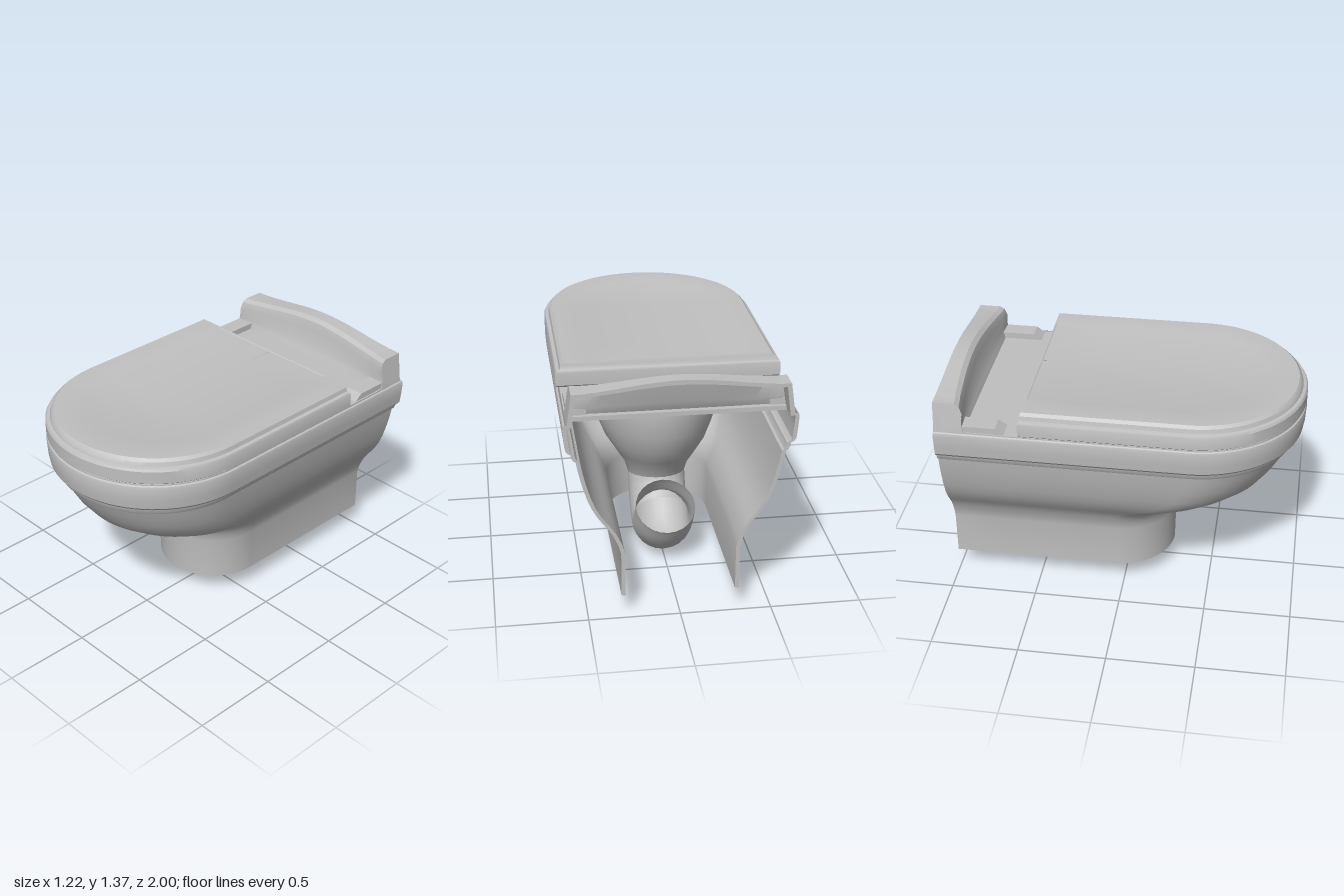
import * as THREE from 'three';
import { toCreasedNormals } from 'three/addons/utils/BufferGeometryUtils.js';

const ceramic = new THREE.MeshStandardMaterial({ color: 0xc0c0c0, side: THREE.DoubleSide });
ceramic.name = 'glazed ceramic';

// Skin a stack of closed loops of [x, y, z], listed from bottom to top
function loft(loops, crease = 0.5) {
  const n = loops[0].length, index = [];
  for (let i = 0; i < loops.length - 1; i++) {
    for (let j = 0; j < n; j++) {
      const k = (j + 1) % n;
      const a = i * n + j, b = i * n + k, d = a + n, c = b + n;
      index.push(a, d, c, a, c, b);
    }
  }
  const geo = new THREE.BufferGeometry();
  geo.setAttribute('position', new THREE.Float32BufferAttribute(loops.flat(2), 3));
  geo.setIndex(index);
  return toCreasedNormals(geo, crease);
}

// Horseshoe outline: straight sides from the back, round front
function horseshoe(y, w, front, back) {
  const pts = [], c = front - w;
  for (let i = 0; i < 4; i++) pts.push([w, y, back + (c - back) * i / 4]);
  for (let i = 0; i <= 40; i++) {
    const a = Math.PI * i / 40;
    pts.push([w * Math.cos(a), y, c + w * Math.sin(a)]);
  }
  for (let i = 3; i >= 0; i--) pts.push([-w, y, back + (c - back) * i / 4]);
  return pts;
}

// Extrude a (z, y) profile along x
function extrudeX(profile, x0, x1, steps = 1) {
  const shape = new THREE.Shape(profile.map(([z, y]) => new THREE.Vector2(-z, y)));
  const geo = new THREE.ExtrudeGeometry(shape, { depth: x1 - x0, steps, bevelEnabled: false });
  return geo.rotateY(Math.PI / 2).translate(x0, 0, 0);
}

export function createModel() {
  const model = new THREE.Group();
  const add = (name, geo) => {
    const mesh = new THREE.Mesh(geo, ceramic);
    mesh.name = name;
    model.add(mesh);
  };

  // Outer skirt, open at the back and below: [y, half width, front z]
  const skirt = [
    [0.145, 0.32, 0.27], [0.4, 0.32, 0.275], [0.45, 0.333, 0.283], [0.5, 0.355, 0.31],
    [0.53, 0.371, 0.35], [0.56, 0.392, 0.42], [0.59, 0.415, 0.51], [0.63, 0.443, 0.62],
    [0.68, 0.471, 0.715], [0.74, 0.495, 0.8], [0.82, 0.519, 0.862], [0.9, 0.538, 0.908],
    [0.955, 0.548, 0.935], [0.962, 0.56, 0.95], [0.98, 0.57, 0.96], [0.998, 0.574, 0.965],
    [1.005, 0.588, 0.975], [1.02, 0.6, 0.988], [1.07, 0.606, 0.996], [1.145, 0.612, 1],
    [1.16, 0.608, 0.996], [1.165, 0.6, 0.988],
  ];
  const wallLoop = ([y, w, f], t) =>
    [...horseshoe(y, w, f, -1), ...horseshoe(y, w - t, f - t, -1).reverse()];
  add('skirt', loft([wallLoop(skirt[0], 0), ...skirt.map(r => wallLoop(r, 0.022))]));

  // Flat rim deck with the bowl opening
  const deck = new THREE.Shape(
    horseshoe(0, 0.59, 0.978, -0.9).map(([x, , z]) => new THREE.Vector2(x, -z)));
  const opening = new THREE.Path();
  opening.absellipse(0, -0.22, 0.42, 0.58, 0, Math.PI * 2);
  deck.holes.push(opening);
  add('rimDeck', new THREE.ExtrudeGeometry(deck, { depth: 0.025, bevelEnabled: false, curveSegments: 32 })
    .rotateX(-Math.PI / 2).translate(0, 1.14, 0));

  // Bowl funnel: [y, centre z, half width, half length]
  const bowl = [
    [0.4, 0, 0.17, 0.17], [0.47, 0, 0.19, 0.2], [0.55, 0.01, 0.24, 0.27], [0.64, 0.04, 0.3, 0.36],
    [0.75, 0.09, 0.35, 0.45], [0.9, 0.15, 0.4, 0.54], [1.05, 0.2, 0.42, 0.575], [1.16, 0.22, 0.42, 0.58],
  ];
  add('bowl', loft(bowl.map(([y, cz, rx, rz]) => Array.from({ length: 40 }, (_, i) => {
    const a = Math.PI * 2 * i / 40;
    return [rx * Math.cos(a), y, cz + rz * Math.sin(a)];
  })), 0.8));

  // Drain trap below the bowl
  const trap = new THREE.CatmullRomCurve3([
    [0.42, 0], [0.3, -0.055], [0.172, -0.2], [0.235, -0.33], [0.36, -0.42],
  ].map(([y, z]) => new THREE.Vector3(0, y, z)));
  add('drainTrap', new THREE.TubeGeometry(trap, 16, 0.17, 24));

  // Closed seat and lid with a shallow panel: [y, half width, front z, back z]
  const lid = [
    [1.175, 0.001, 0.35, -0.5], [1.175, 0.6, 0.985, -0.522], [1.185, 0.612, 0.998, -0.53],
    [1.255, 0.612, 0.998, -0.53], [1.268, 0.606, 0.99, -0.527], [1.272, 0.588, 0.972, -0.524],
    [1.295, 0.582, 0.964, -0.52], [1.31, 0.566, 0.948, -0.516], [1.31, 0.435, 0.785, -0.51],
    [1.306, 0.42, 0.77, -0.505], [1.306, 0.001, 0.35, -0.5],
  ];
  add('lid', loft(lid.map(([y, w, f, b]) => horseshoe(y, w, f, b))));

  // Rear upstand: hollow, arched across the width and curved in plan
  const front = [[-0.83, 1.15], [-0.848, 1.19], [-0.87, 1.23], [-0.88, 1.31], [-0.895, 1.36], [-0.92, 1.38], [-1, 1.38]];
  const inner = [[-1, 1.355], [-0.93, 1.355], [-0.91, 1.31], [-0.9, 1.22], [-0.86, 1.15]];
  const arch = geo => {
    const p = geo.attributes.position;
    for (let i = 0; i < p.count; i++) {
      const x = p.getX(i), y = p.getY(i), z = p.getZ(i), rise = Math.max(0, y - 1.165);
      const k = 0.885 + 0.115 * Math.cos(Math.PI * x / 0.585);
      p.setY(i, y - rise * (1 - k));
      if (z > -0.99) p.setZ(i, z + 0.04 * Math.min(1, rise / 0.1) * (x / 0.585) ** 2);
      p.setX(i, x * (1 - 0.2 * rise * (Math.abs(x) > 0.5 ? 1 : 0)));
    }
    return toCreasedNormals(geo, 0.5);
  };
  add('rearUpstand', arch(extrudeX([...front, ...inner], -0.585, 0.585, 32)));

  // Upstand ends and the low arms running forward from them
  const end = [...front, [-1, 1.15]];
  const arm = [[-0.605, 1.16], [-0.66, 1.2], [-0.88, 1.2], [-0.88, 1.16]];
  for (const [side, s] of [['left', 1], ['right', -1]]) {
    const span = (a, b) => s > 0 ? [a, b] : [-b, -a];
    add(side + 'UpstandEnd', arch(extrudeX(end, ...span(0.565, 0.59))));
    add(side + 'Arm', extrudeX(arm, ...span(0.48, 0.582)));
  }
  return model;
}
